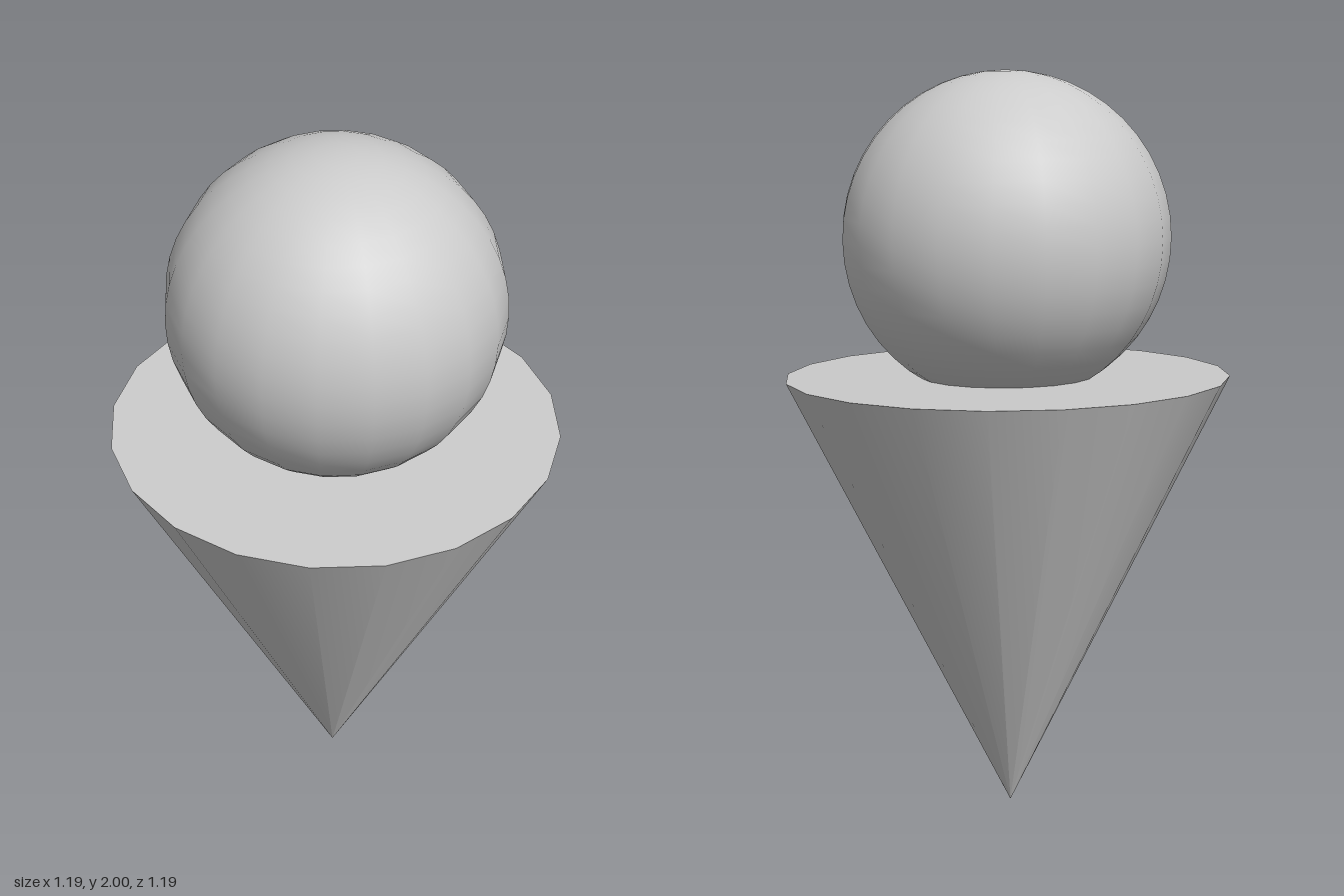
import * as THREE from 'three';

export function createModel() {
  const model = new THREE.Group();
  model.name = 'iceCreamCone';
  const material = new THREE.MeshStandardMaterial({ color: 0xcccccc });

  // Everything leans slightly forward about the centre of the rim
  const lean = new THREE.Group();
  lean.name = 'leaningBody';
  lean.position.y = 1.195;
  lean.rotation.x = 0.034;
  model.add(lean);

  // Closed cone, point down, rim at the local origin
  const height = 1.195;
  const coneGeometry = new THREE.ConeGeometry(0.595, height, 20);
  coneGeometry.rotateX(Math.PI);
  coneGeometry.translate(0, -height / 2, 0);
  const cone = new THREE.Mesh(coneGeometry, material);
  cone.name = 'cone';
  lean.add(cone);

  // Scoop sunk a little into the flat top
  const scoop = new THREE.Mesh(new THREE.SphereGeometry(0.4375, 20, 24), material);
  scoop.name = 'scoop';
  scoop.position.y = 0.368;
  lean.add(scoop);

  return model;
}
